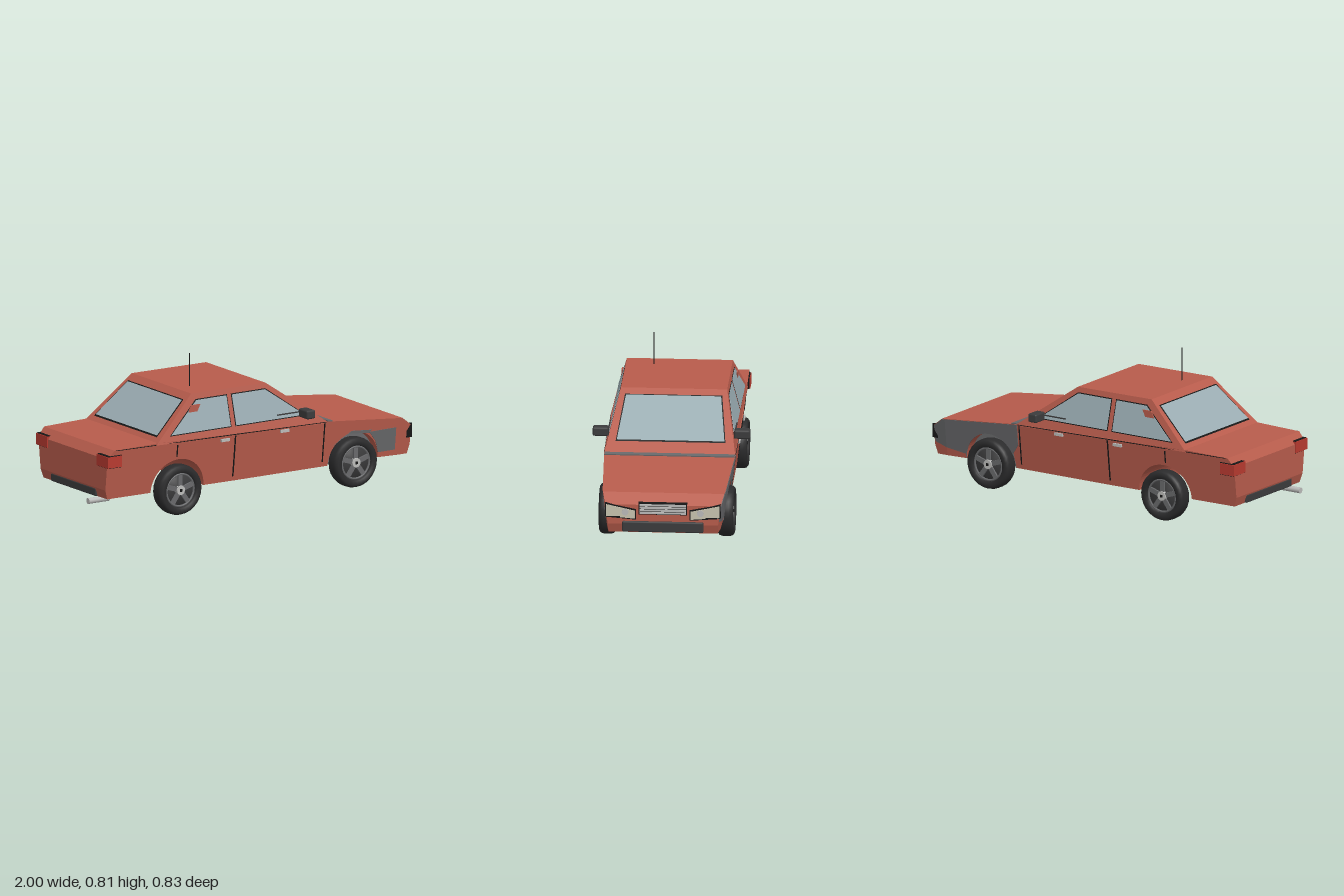
import * as THREE from 'three';
import { RoundedBoxGeometry } from 'three/addons/geometries/RoundedBoxGeometry.js';

const paint = (name, color, side = THREE.FrontSide) => {
  const m = new THREE.MeshStandardMaterial({ color, side });
  m.name = name;
  return m;
};

export function createModel() {
  const car = new THREE.Group();
  car.name = 'car';
  const D = THREE.DoubleSide;
  const red = paint('body red', 0xb85c4c, D);
  const glass = paint('window glass', 0x9aacb2, D);
  const dark = paint('dark trim', 0x3c3c3d, D);
  const rubber = paint('tyre rubber', 0x2b2b2c, D);
  const grey = paint('bare grey metal', 0x68696b, D);
  const silver = paint('silver', 0xbcbcba, D);
  const cream = paint('headlight cream', 0xc9c5b0, D);
  const lampRed = paint('tail lamp red', 0xb83a30, D);
  const black = paint('panel gap black', 0x161616, D);

  const add = (name, geo, mat, x = 0, y = 0, z = 0, parent = car) => {
    const m = new THREE.Mesh(geo, mat);
    m.name = name;
    m.position.set(x, y, z);
    parent.add(m);
    return m;
  };
  const box = (name, mat, sx, sy, sz, x, y, z) => add(name, new THREE.BoxGeometry(sx, sy, sz), mat, x, y, z);

  // Half width of the lower body and of the cabin
  const stations = [[-0.95, 0.328], [-0.155, 0.345], [0.42, 0.345], [0.9, 0.328], [0.99, 0.314]];
  const bodyWidth = (x, y) => {
    let i = 0;
    while (i < stations.length - 2 && x > stations[i + 1][0]) i++;
    const [[x0, w0], [x1, w1]] = [stations[i], stations[i + 1]];
    return w0 + (w1 - w0) * (x - x0) / (x1 - x0) - 0.12 * (0.385 - y);
  };
  const cabinWidth = (x, y) => 0.343 - 0.265 * (y - 0.39);

  // Outline in x and y; an entry of three numbers is a wheel arch (centre x, centre y, radius)
  const outline = (pts) => {
    const s = new THREE.Shape();
    pts.forEach((p, i) => {
      if (p.length === 3) s.absarc(p[0], p[1], p[2], Math.PI, 0, true);
      else if (i) s.lineTo(p[0], p[1]);
      else s.moveTo(p[0], p[1]);
    });
    return s;
  };
  // Solid across the full width
  const section = (name, pts, width, mat = red) => {
    const geo = new THREE.ExtrudeGeometry(outline(pts), { depth: 1, bevelEnabled: false, curveSegments: 14 });
    const p = geo.attributes.position;
    for (let i = 0; i < p.count; i++) p.setZ(i, (2 * p.getZ(i) - 1) * width(p.getX(i), p.getY(i)));
    geo.computeVertexNormals();
    return add(name, geo, mat);
  };
  // Thin plate lying on one side
  const plate = (name, pts, side, width, mat, lift = 0.003) => {
    let geo = new THREE.ExtrudeGeometry(outline(pts), { depth: 1, bevelEnabled: false, curveSegments: 14 });
    const p = geo.attributes.position;
    for (let i = 0; i < p.count; i++) {
      p.setZ(i, side * (width(p.getX(i), p.getY(i)) + (p.getZ(i) > 0.5 ? lift : -0.002)));
    }
    if (side < 0) {
      // Restore outward winding on the mirrored side
      for (let i = 0; i < p.count; i += 3) {
        const a = [p.getX(i), p.getY(i), p.getZ(i)];
        p.setXYZ(i, p.getX(i + 1), p.getY(i + 1), p.getZ(i + 1));
        p.setXYZ(i + 1, ...a);
      }
    }
    geo.computeVertexNormals();
    return add(name, geo, mat);
  };
  const rect = (x0, x1, y0, y1) => [[x0, y0], [x1, y0], [x1, y1], [x0, y1]];

  // Lower body
  section('rearBody', [[-0.935, 0.14], [-0.665, 0.14], [-0.5, 0.14, 0.165], [-0.155, 0.14], [-0.155, 0.399],
    [-0.64, 0.41], [-0.91, 0.405], [-0.95, 0.36], [-0.95, 0.19]], bodyWidth);
  section('doorBody', [[-0.155, 0.14], [0.42, 0.14], [0.42, 0.387], [-0.155, 0.399]], bodyWidth);
  section('frontBody', [[0.42, 0.14], [0.445, 0.14], [0.61, 0.14, 0.162], [0.9, 0.135], [0.9, 0.338], [0.42, 0.387]], bodyWidth);
  section('nose', [[0.9, 0.135], [0.968, 0.132], [0.984, 0.182], [0.984, 0.288], [0.92, 0.336], [0.9, 0.338]], bodyWidth);
  box('engineBay', grey, 0.435, 0.19, 0.52, 0.6625, 0.227, 0);
  const cowl = box('cowl', grey, 0.03, 0.008, 0.685, 0.447, 0.3855, 0);
  cowl.rotation.z = -0.1;

  // Cabin
  section('cabin', [[-0.65, 0.4], [0.4, 0.38], [0.43, 0.385], [0.08, 0.63], [-0.39, 0.634]], cabinWidth);

  // Sloping glass, given by its two edges as x, y, half width
  const screen = (name, a, b, mat, lift) => {
    const n = new THREE.Vector2(b[1] - a[1], a[0] - b[0]).normalize();
    if (n.y < 0) n.negate();
    const corner = ([x, y, w], s) => [x + n.x * lift, y + n.y * lift, s * w];
    const geo = new THREE.BufferGeometry();
    geo.setAttribute('position', new THREE.Float32BufferAttribute(
      [...corner(a, 1), ...corner(b, 1), ...corner(b, -1), ...corner(a, -1)], 3));
    geo.setIndex(a[0] < b[0] ? [0, 1, 2, 0, 2, 3] : [0, 2, 1, 0, 3, 2]);
    geo.computeVertexNormals();
    add(name, geo, mat);
  };
  screen('windscreenSeal', [0.115, 0.6055, 0.256], [0.367, 0.429, 0.289], black, 0.002);
  screen('windscreen', [0.12, 0.602, 0.25], [0.36, 0.434, 0.283], glass, 0.004);
  screen('rearWindowSeal', [-0.425, 0.6026, 0.261], [-0.617, 0.4305, 0.295], black, 0.002);
  screen('rearWindow', [-0.43, 0.598, 0.255], [-0.61, 0.437, 0.289], glass, 0.004);

  for (const s of [1, -1]) {
    // Side windows and their seals
    plate('rearSideSeal', [[-0.56, 0.435], [-0.17, 0.435], [-0.17, 0.603], [-0.368, 0.603]], s, cabinWidth, black, 0.001);
    plate('rearSideWindow', [[-0.55, 0.44], [-0.175, 0.44], [-0.175, 0.598], [-0.365, 0.598]], s, cabinWidth, glass);
    plate('frontSideSeal', [[-0.145, 0.435], [0.305, 0.435], [0.072, 0.603], [-0.145, 0.603]], s, cabinWidth, black, 0.001);
    plate('frontSideWindow', [[-0.14, 0.44], [0.293, 0.44], [0.07, 0.598], [-0.14, 0.598]], s, cabinWidth, glass);
    plate('quarterVent', [[-0.45, 0.497], [-0.39, 0.497], [-0.35, 0.578], [-0.405, 0.578]], s, () => 0.302, red, 0.004);

    // Panel gaps, waist line and handles
    plate('doorGap', rect(-0.158, -0.151, 0.165, 0.39), s, bodyWidth, black);
    plate('frontDoorGap', rect(0.408, 0.414, 0.165, 0.38), s, bodyWidth, black);
    plate('rearDoorGap', rect(-0.518, -0.512, 0.32, 0.385), s, bodyWidth, black);
    plate('rearWaistLine', [[-0.9, 0.402], [-0.155, 0.394], [-0.155, 0.398], [-0.9, 0.405]], s, bodyWidth, black, 0.002);
    plate('doorWaistLine', [[-0.155, 0.394], [0.42, 0.383], [0.42, 0.386], [-0.155, 0.398]], s, bodyWidth, black, 0.002);
    for (const x of [-0.22, 0.155]) box('doorHandle', silver, 0.052, 0.015, 0.014, x, 0.374, s * 0.347);

    // Mirrors
    add('mirror', new RoundedBoxGeometry(0.055, 0.048, 0.085, 1, 0.01), dark, 0.28, 0.456, s * 0.372);
    box('mirrorStalk', dark, 0.15, 0.006, 0.006, 0.195, 0.46, s * 0.333);

    // Lamps
    const lampShape = (g) => outline([[0.145 - g, 0.212 - g], [0.3 + g, 0.225 - g], [0.3 + g, 0.293 + g], [0.145 - g, 0.26 + g]]);
    const lamp = (name, g, depth, mat, x) => {
      const geo = new THREE.ExtrudeGeometry(lampShape(g), { depth, bevelEnabled: false });
      geo.rotateY(-Math.PI / 2);
      const holder = add(name, geo, mat, x);
      holder.scale.z = s;
    };
    lamp('headlightFrame', 0.004, 0.035, black, 0.991);
    lamp('headlight', -0.002, 0.006, cream, 0.995);
    const bulb = add('headlightBulb', new THREE.CylinderGeometry(0.018, 0.018, 0.004, 16), silver, 0.996, 0.25, s * 0.198);
    bulb.rotation.z = Math.PI / 2;
    box('headlightBar', black, 0.004, 0.005, 0.06, 0.995, 0.225, s * 0.255);
    box('tailLamp', lampRed, 0.09, 0.06, 0.105, -0.912, 0.345, s * 0.286);
    box('tailLampRim', black, 0.086, 0.066, 0.1, -0.909, 0.345, s * 0.285);
  }

  // Bare front wing on one side, painted wing with an exposed lower corner on the other
  plate('bareWing', [[0.425, 0.27], [0.46, 0.22], [0.61, 0.14, 0.162], [0.775, 0.165], [0.9, 0.18], [0.9, 0.335], [0.425, 0.384]], -1, bodyWidth, grey);
  plate('bareWingTip', [[0.9, 0.18], [0.978, 0.2], [0.98, 0.288], [0.92, 0.333], [0.9, 0.335]], -1, bodyWidth, grey);
  plate('bareWingCorner', [[0.772, 0.168], [0.88, 0.168], [0.88, 0.29], [0.705, 0.29], [0.75, 0.235]], 1, bodyWidth, grey);
  plate('bareArchEdge', [[0.475, 0.245], [0.57, 0.3], [0.705, 0.285], [0.72, 0.3], [0.59, 0.312]], 1, bodyWidth, grey);

  // Grille and bumpers
  box('grille', black, 0.03, 0.062, 0.256, 0.978, 0.269, 0);
  for (let i = 0; i < 4; i++) box('grilleBar', silver, 0.008, 0.0105, 0.244, 0.993, 0.2475 + i * 0.0143, 0);
  add('frontBumper', new RoundedBoxGeometry(0.04, 0.058, 0.428, 1, 0.008), dark, 0.976, 0.169, 0);
  add('rearBumper', new RoundedBoxGeometry(0.03, 0.045, 0.42, 1, 0.008), dark, -0.935, 0.162, 0);

  // Aerial and exhaust
  add('aerial', new THREE.CylinderGeometry(0.003, 0.003, 0.18, 6), black, -0.3, 0.72, 0.13);
  const exhaust = add('exhaust', new THREE.CylinderGeometry(0.016, 0.016, 0.13, 12), silver, -0.935, 0.123, 0.215);
  exhaust.rotation.z = Math.PI / 2;

  // Wheels: axis along z, outer face at +z before mirroring
  const v = (pts) => pts.map(([r, y]) => new THREE.Vector2(r, y));
  const tyreGeo = new THREE.LatheGeometry(v([[0.092, -0.04], [0.118, -0.043], [0.13, -0.034], [0.135, -0.018],
    [0.135, 0.018], [0.13, 0.034], [0.118, 0.043], [0.097, 0.041], [0.092, 0.03]]), 28).rotateX(Math.PI / 2);
  const rimGeo = new THREE.LatheGeometry(v([[0.093, -0.04], [0.09, 0.02], [0, 0.02]]), 28).rotateX(Math.PI / 2);
  for (const x of [-0.5, 0.61]) {
    for (const s of [1, -1]) {
      const wheel = new THREE.Group();
      wheel.name = x < 0 ? 'rearWheel' : 'frontWheel';
      wheel.position.set(x, 0.14, s * 0.312);
      if (s < 0) wheel.rotation.y = Math.PI;
      car.add(wheel);
      add('tyre', tyreGeo, rubber, 0, 0, 0, wheel);
      add('rim', rimGeo, dark, 0, 0, 0, wheel);
      add('rimRing', new THREE.TorusGeometry(0.086, 0.006, 6, 28), grey, 0, 0, 0.027, wheel);
      for (let i = 0; i < 5; i++) {
        const a = Math.PI / 2 + i * Math.PI * 0.4;
        const spoke = add('spoke', new THREE.BoxGeometry(0.07, 0.026, 0.01), grey, 0.05 * Math.cos(a), 0.05 * Math.sin(a), 0.026, wheel);
        spoke.rotation.z = a;
      }
      const hub = add('hub', new THREE.CylinderGeometry(0.025, 0.028, 0.018, 14), silver, 0, 0, 0.027, wheel);
      hub.rotation.x = Math.PI / 2;
      add('hubNut', new THREE.BoxGeometry(0.014, 0.014, 0.006), black, 0, 0, 0.036, wheel);
    }
  }
  return car;
}
